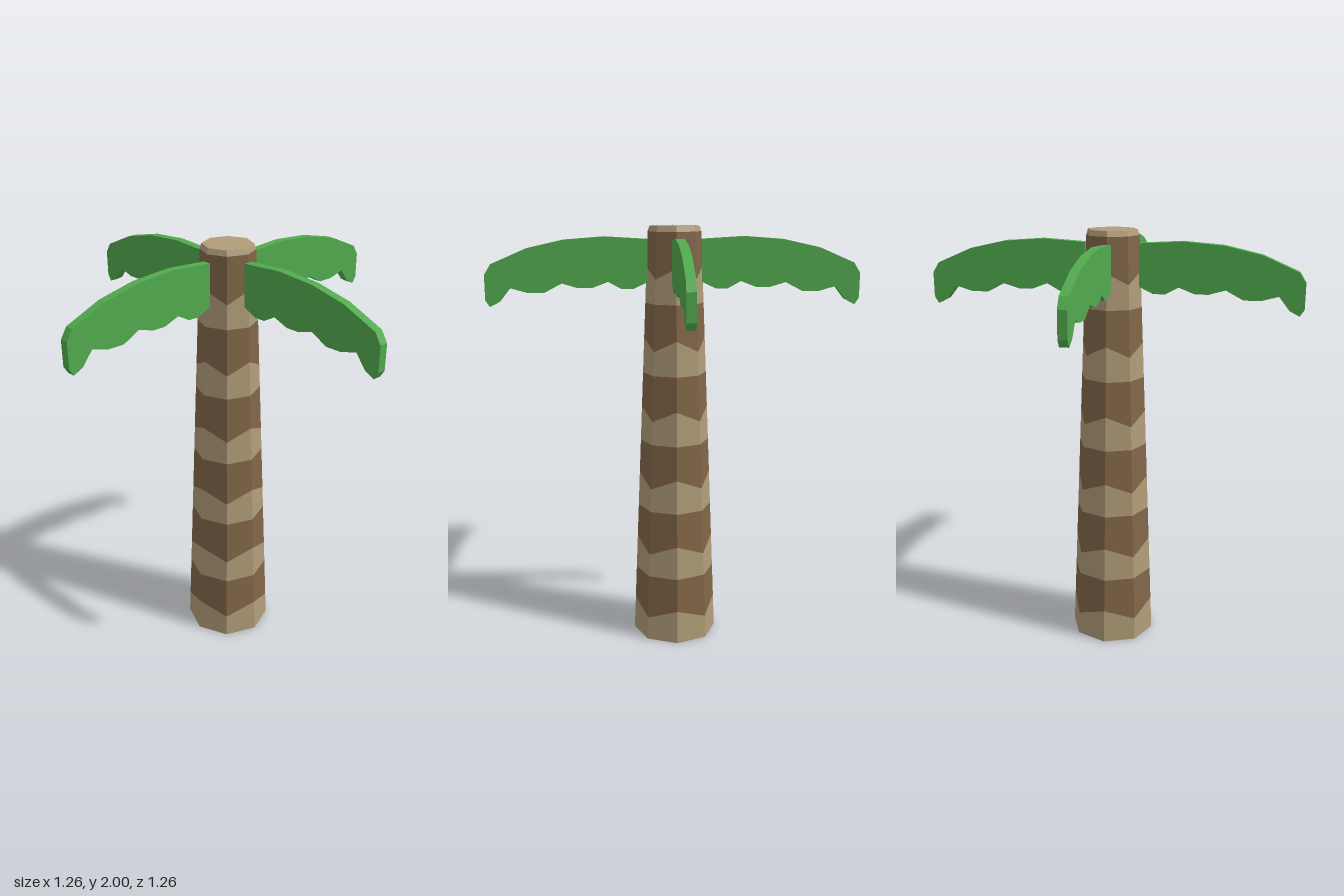
import * as THREE from 'three';

const SIDES = 8, BANDS = 6, STEP = 0.33, SHOULDER = 1.975;
const mat = (color) => new THREE.MeshStandardMaterial({ color, flatShading: true });
const trunkRadius = (y) => 0.2035 - 0.0405 * y;

// Eight-sided ring between two edges; lo and hi give the height at each corner
function ringGeometry(lo, hi, radius) {
  const pos = [];
  const corner = (i, edge) => {
    const a = (i / SIDES) * Math.PI * 2, y = edge(i), r = radius(y);
    return [Math.sin(a) * r, y, Math.cos(a) * r];
  };
  for (let i = 0; i < SIDES; i++) {
    const a = corner(i, lo), b = corner(i + 1, lo), c = corner(i + 1, hi), d = corner(i, hi);
    pos.push(...a, ...b, ...c, ...a, ...c, ...d);
  }
  const g = new THREE.BufferGeometry();
  g.setAttribute('position', new THREE.Float32BufferAttribute(pos, 3));
  g.computeVertexNormals();
  return g;
}

function add(parent, name, geometry, material) {
  const mesh = new THREE.Mesh(geometry, material);
  mesh.name = name;
  parent.add(mesh);
  return mesh;
}

// Frond outline: x runs out along the frond, measured on one diagonal axis
function frondGeometry() {
  const outline = [
    // inner end and upper curve
    [0.09, 1.745], [0.088, 1.94], [0.23, 1.952], [0.36, 1.938], [0.48, 1.9], [0.595, 1.83],
    // tip
    [0.616, 1.783], [0.616, 1.668], [0.602, 1.637], [0.57, 1.66],
    // scalloped lower edge
    [0.535, 1.722], [0.48, 1.7], [0.425, 1.7], [0.368, 1.742],
    [0.315, 1.72], [0.27, 1.72], [0.218, 1.748], [0.175, 1.715], [0.135, 1.715],
  ];
  const shape = new THREE.Shape(outline.map(([x, y]) => new THREE.Vector2(x * Math.SQRT2, y)));
  const depth = 0.04;
  return new THREE.ExtrudeGeometry(shape, { depth, bevelEnabled: false }).translate(0, 0, -depth / 2);
}

export function createModel() {
  const model = new THREE.Group();
  model.name = 'palmTree';
  const light = mat(0xb09c78), dark = mat(0x826648), green = mat(0x52aa4f);

  // Trunk: light bands with a zigzag upper edge, dark bands filling up to the next
  const trunk = new THREE.Group();
  trunk.name = 'trunk';
  model.add(trunk);
  for (let k = 0; k < BANDS; k++) {
    const base = k * STEP;
    const top = k === BANDS - 1 ? SHOULDER : base + STEP;
    const zigzag = (i) => base + (i % 2 ? 0.165 : 0.112);
    add(trunk, 'lightBand', ringGeometry(() => base, zigzag, trunkRadius), light);
    add(trunk, 'darkBand', ringGeometry(zigzag, () => top, trunkRadius), dark);
  }

  // Bevelled top and the two end faces
  const bevelRadius = (y) => (y > SHOULDER ? 0.115 : trunkRadius(SHOULDER));
  add(trunk, 'topBevel', ringGeometry(() => SHOULDER, () => 2, bevelRadius), light);
  const topFace = add(trunk, 'topFace', new THREE.CircleGeometry(0.115, SIDES), light);
  topFace.rotation.x = -Math.PI / 2;
  topFace.position.y = 2;
  const bottomFace = add(trunk, 'bottomFace', new THREE.CircleGeometry(trunkRadius(0), SIDES), light);
  bottomFace.rotation.x = Math.PI / 2;

  // Four fronds on the diagonals
  const frond = frondGeometry();
  for (let k = 0; k < 4; k++) {
    add(model, 'frond', frond, green).rotation.y = Math.PI / 4 + (k * Math.PI) / 2;
  }
  return model;
}
